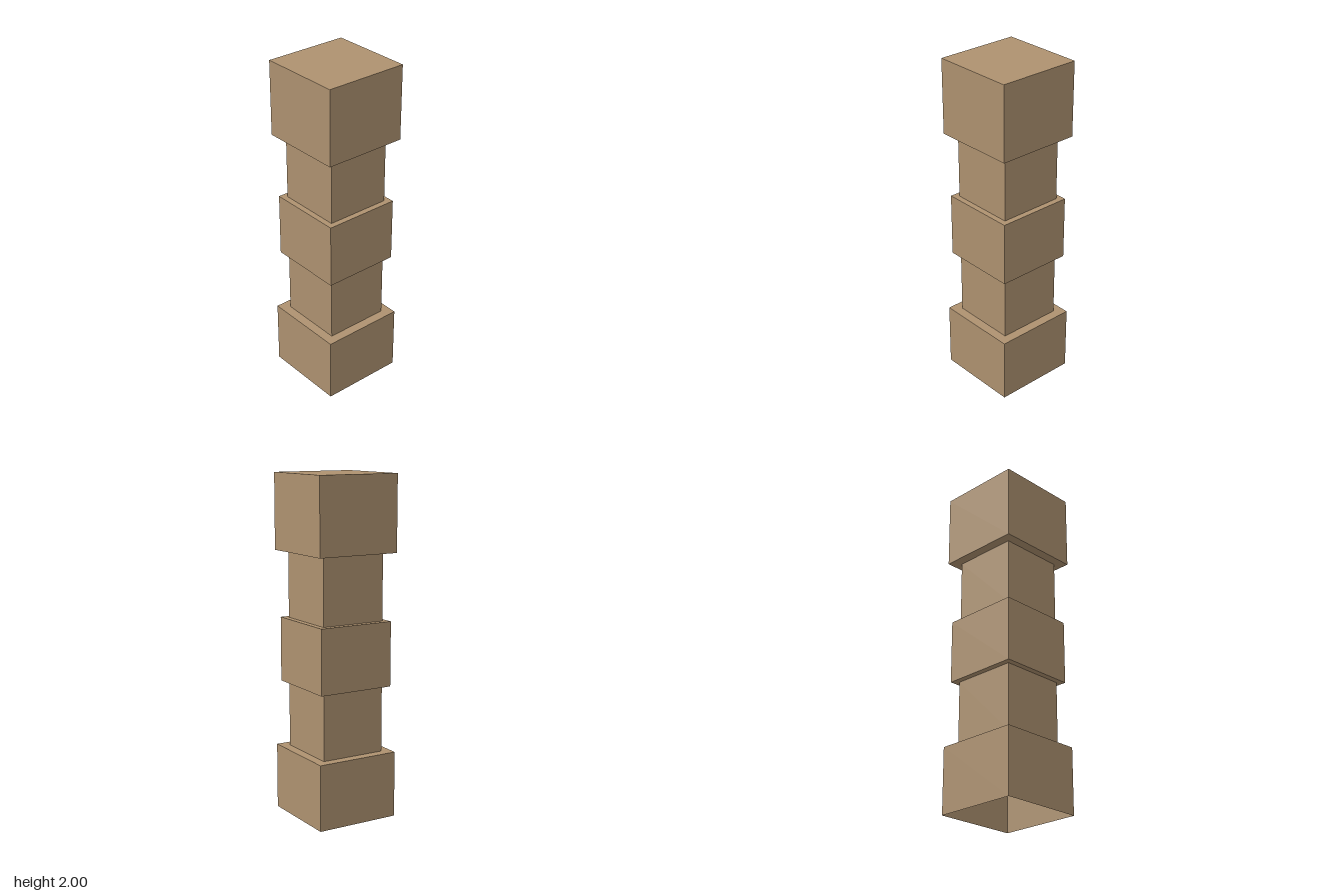
import * as THREE from 'three';

const wood = new THREE.MeshStandardMaterial({ color: 0xae9270, side: THREE.DoubleSide });
wood.name = 'tan wood';

// Square shell swept from a profile of [half width, height] pairs, bottom to top
function squareShell(name, profile) {
  const points = profile.map(([half, y]) => new THREE.Vector2(half * Math.SQRT2, y));
  const geometry = new THREE.LatheGeometry(points, 4, Math.PI / 4).toNonIndexed();
  geometry.computeVertexNormals();
  const mesh = new THREE.Mesh(geometry, wood);
  mesh.name = name;
  return mesh;
}

export function createModel() {
  const group = new THREE.Group();
  group.name = 'squarePost';
  const wide = 0.2525, mid = 0.231, neck = 0.196;

  group.add(
    // Hollow foot, open underneath, with a ledge up to the neck
    squareShell('base', [[wide, 0], [wide, 0.391], [neck, 0.391]]),
    squareShell('lowerNeck', [[neck, 0.391], [neck, 0.783]]),
    // Middle band with a ledge above and below
    squareShell('middleBand', [[neck, 0.783], [mid, 0.783], [mid, 1.164], [neck, 1.164]]),
    squareShell('upperNeck', [[neck, 1.164], [neck, 1.556]]),
    // Closed cap block
    squareShell('cap', [[neck, 1.556], [wide, 1.556], [wide, 2], [0, 2]]),
  );
  return group;
}
